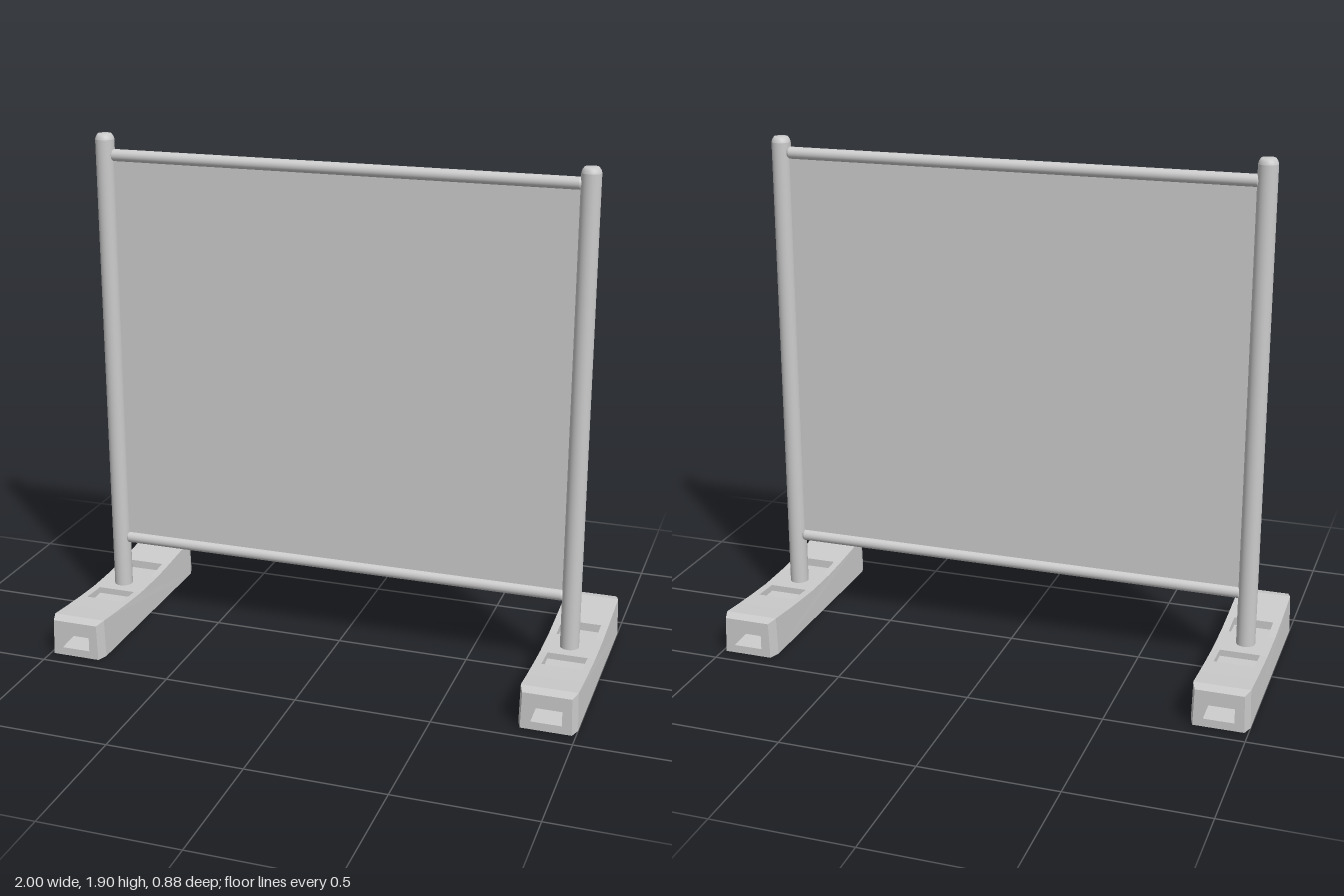
import * as THREE from 'three';

const mat = new THREE.MeshStandardMaterial({ color: 0xcccccc, side: THREE.DoubleSide });

function add(parent, name, geometry, x = 0, y = 0, z = 0) {
  const mesh = new THREE.Mesh(geometry, mat);
  mesh.name = name;
  mesh.position.set(x, y, z);
  parent.add(mesh);
  return mesh;
}

// Extrudes a side profile of [z, y] points from x0 to x1
function strip(points, x0, x1) {
  const shape = new THREE.Shape(points.map(([z, y]) => new THREE.Vector2(-z, y)));
  const g = new THREE.ExtrudeGeometry(shape, { depth: x1 - x0, bevelEnabled: false });
  return g.rotateY(Math.PI / 2).translate(x0, 0, 0);
}

// Mirrors half a profile (z >= 0) across z = 0
const mirrored = (half) => [...half, ...half.map(([z, y]) => [-z, y]).reverse()];

// Concave top edge, with and without the recess cut into it
const dip = [[0.19, 0.126], [0.08, 0.119]];
const recess = [[0.19, 0.126], [0.19, 0.095], [0.08, 0.095], [0.08, 0.119]];
const slot = [[0.33, 0.06], [0.33, 0]];
const tip = [[0.4, 0.145], [0.3, 0.135]];

function createFoot() {
  const foot = new THREE.Group();
  foot.name = 'foot';

  // Core with end pockets, top recesses and underside slot
  const core = mirrored([...slot, [0.44, 0], [0.44, 0.03], [0.35, 0.035], [0.35, 0.105],
    [0.44, 0.11], [0.44, 0.137], ...tip, ...recess]);
  add(foot, 'footCore', strip(core, -0.055, 0.055));

  const inner = mirrored([[0.44, 0], [0.44, 0.137], ...tip, ...recess]);
  const outer = mirrored([[0.4, 0], ...tip, ...dip]);
  for (const s of [-1, 1]) {
    // Strip beside the core, as wide as the recesses
    add(foot, 'footInnerWall', strip(inner, Math.min(s * 0.055, s * 0.073), Math.max(s * 0.055, s * 0.073)));

    // Outer wall and its chamfered corners
    const pieces = [outer];
    for (const e of [-1, 1]) pieces.push([[e * 0.4, 0], [e * 0.44, 0], [e * 0.44, 0.137], [e * 0.4, 0.145]]);
    for (const piece of pieces) {
      const g = strip(piece, Math.min(s * 0.073, s * 0.105), Math.max(s * 0.073, s * 0.105));
      const p = g.attributes.position;
      for (let i = 0; i < p.count; i++) {
        if (Math.abs(p.getX(i)) < 0.1) continue;
        let x = 0.105;
        if (p.getY(i) > 0.05) x -= 0.004;
        if (Math.abs(p.getZ(i)) > 0.43) x -= 0.014;
        p.setX(i, s * x);
      }
      g.computeVertexNormals();
      add(foot, 'footOuterWall', g);
    }
  }
  return foot;
}

// Round bar along y from 0 to length, with softened ends
function bar(radius, length, bevel, bottomBevel) {
  const pts = [[0, 0], [radius - bottomBevel, 0], [radius, bottomBevel], [radius, bottomBevel + 0.001],
    [radius, length - bevel - 0.001], [radius, length - bevel],
    [radius - bevel * 0.15, length - bevel * 0.5], [radius - bevel * 0.5, length], [0, length]];
  return new THREE.LatheGeometry(pts.map(([x, y]) => new THREE.Vector2(x, y)), 24);
}

export function createModel() {
  const model = new THREE.Group();
  model.name = 'freestandingScreen';

  // Feet and posts
  for (const [side, footX, postX, top] of [['right', -0.895, -0.9, 1.9], ['left', 0.895, 0.887, 1.88]]) {
    const foot = createFoot();
    foot.name = side + 'Foot';
    foot.position.x = footX;
    model.add(foot);
    add(model, side + 'Post', bar(0.035, top - 0.1, 0.02, 0), postX, 0.1, 0.004);
  }

  // Rails between the posts
  for (const [name, y] of [['topRail', 1.822], ['bottomRail', 0.318]]) {
    const rail = add(model, name, bar(0.022, 1.73, 0.008, 0.004), -0.872, y, 0.002);
    rail.rotation.z = -Math.PI / 2;
  }

  // Flat panel stretched between the rails
  add(model, 'panel', new THREE.BoxGeometry(1.72, 1.5, 0.01), -0.006, 1.07, 0.002);

  return model;
}
